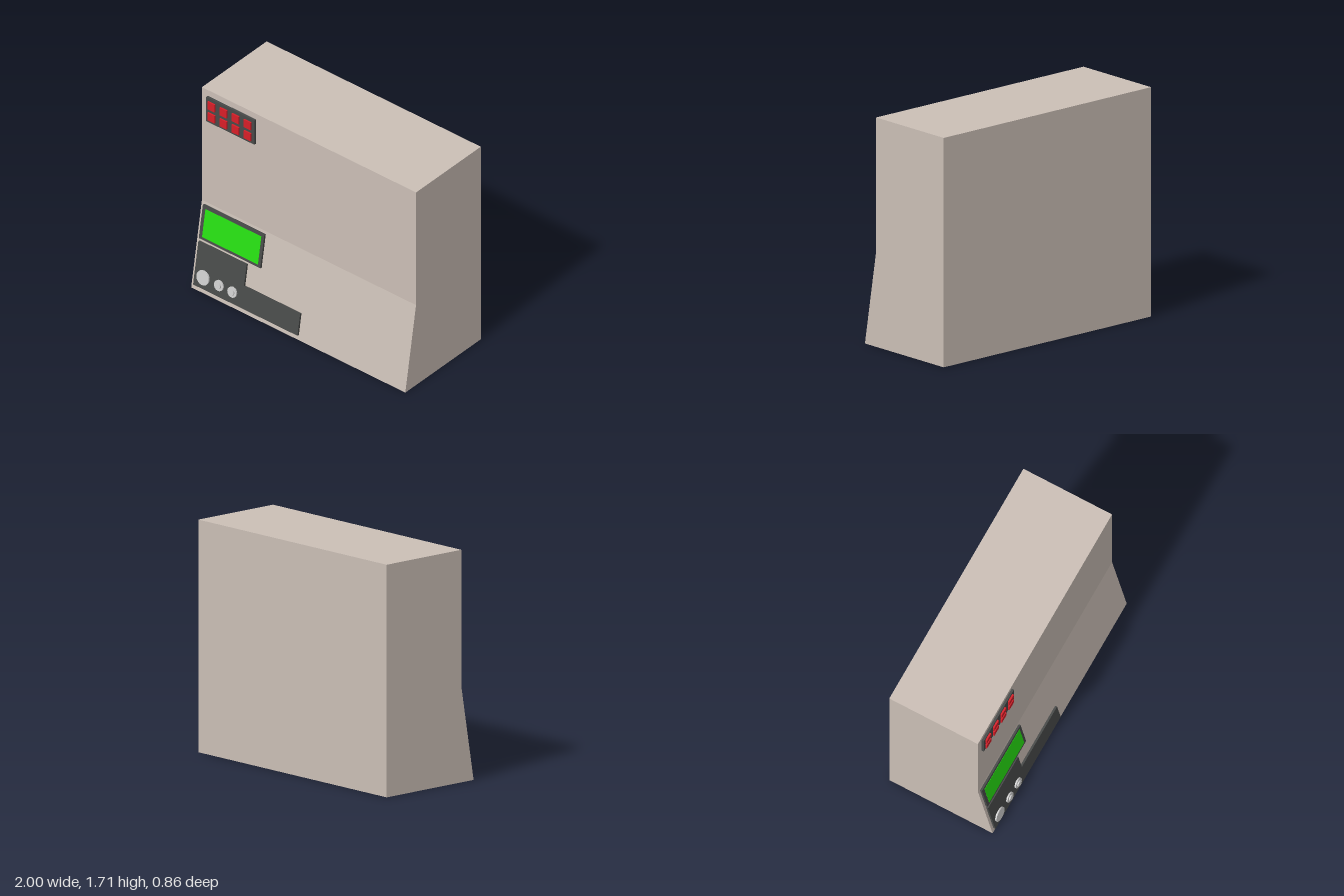
import * as THREE from 'three';

const mat = (color) => new THREE.MeshStandardMaterial({ color, flatShading: true });

export function createModel() {
  const model = new THREE.Group();
  const casing = mat(0xcbbfb6), dark = mat(0x484a49), red = mat(0xd81e28);
  const green = mat(0x26dc12), grey = mat(0xcccccc);

  const add = (parent, name, geometry, material, x, y, z) => {
    const mesh = new THREE.Mesh(geometry, material);
    mesh.name = name;
    mesh.position.set(x, y, z);
    parent.add(mesh);
    return mesh;
  };
  const outline = (points) => new THREE.Shape(points.map(([x, y]) => new THREE.Vector2(x, y)));
  const extrude = (points, depth) =>
    new THREE.ExtrudeGeometry(outline(points), { depth, bevelEnabled: false });

  // Casing: side profile (z, y) swept across the width
  const foot = 0.415, face = 0.295, kink = 0.71;
  const side = extrude([[-0.43, 0], [foot, 0], [face, kink], [face, 1.71], [-0.43, 1.71]], 2);
  side.rotateY(-Math.PI / 2);
  add(model, 'casing', side, casing, 1, 0, 0);

  // Keypad with two rows of four buttons
  const keypad = new THREE.Group();
  keypad.name = 'keypad';
  add(keypad, 'keypadPlate', new THREE.BoxGeometry(0.45, 0.215, 0.018), dark, -0.72, 1.552, face + 0.009);
  for (let row = 0; row < 2; row++) {
    for (let col = 0; col < 4; col++) {
      add(keypad, 'button', new THREE.BoxGeometry(0.066, 0.066, 0.014), red,
        -0.89 + col * 0.112, 1.502 + row * 0.098, face + 0.024);
    }
  }
  model.add(keypad);

  // Parts on the sloped lower face share its tilt
  const slope = new THREE.Group();
  slope.name = 'slopedControls';
  slope.position.z = foot;
  slope.rotation.x = -Math.atan((foot - face) / kink);
  model.add(slope);

  const thick = 0.016;
  add(slope, 'screenFrame', new THREE.BoxGeometry(0.575, 0.276, thick), dark, -0.6875, 0.56, thick / 2);
  add(slope, 'screen', new THREE.BoxGeometry(0.522, 0.23, 0.004), green, -0.685, 0.558, thick);

  const panel = extrude([[-0.975, 0.04], [0, 0.04], [0, 0.22], [-0.525, 0.22],
    [-0.525, 0.397], [-0.975, 0.397]], thick);
  add(slope, 'controlPanel', panel, dark, 0, 0, 0);

  // Round knobs; the small ones have a raised centre
  const knob = (name, x, radius, height, base) => {
    const geometry = new THREE.CylinderGeometry(radius, radius, height, 16).rotateX(Math.PI / 2);
    add(slope, name, geometry, grey, x, 0.134, base + height / 2);
  };
  knob('largeKnob', -0.89, 0.058, 0.012, thick);
  for (const x of [-0.742, -0.617]) {
    knob('smallKnob', x, 0.042, 0.012, thick);
    knob('smallKnobCentre', x, 0.025, 0.01, thick + 0.012);
  }
  return model;
}
